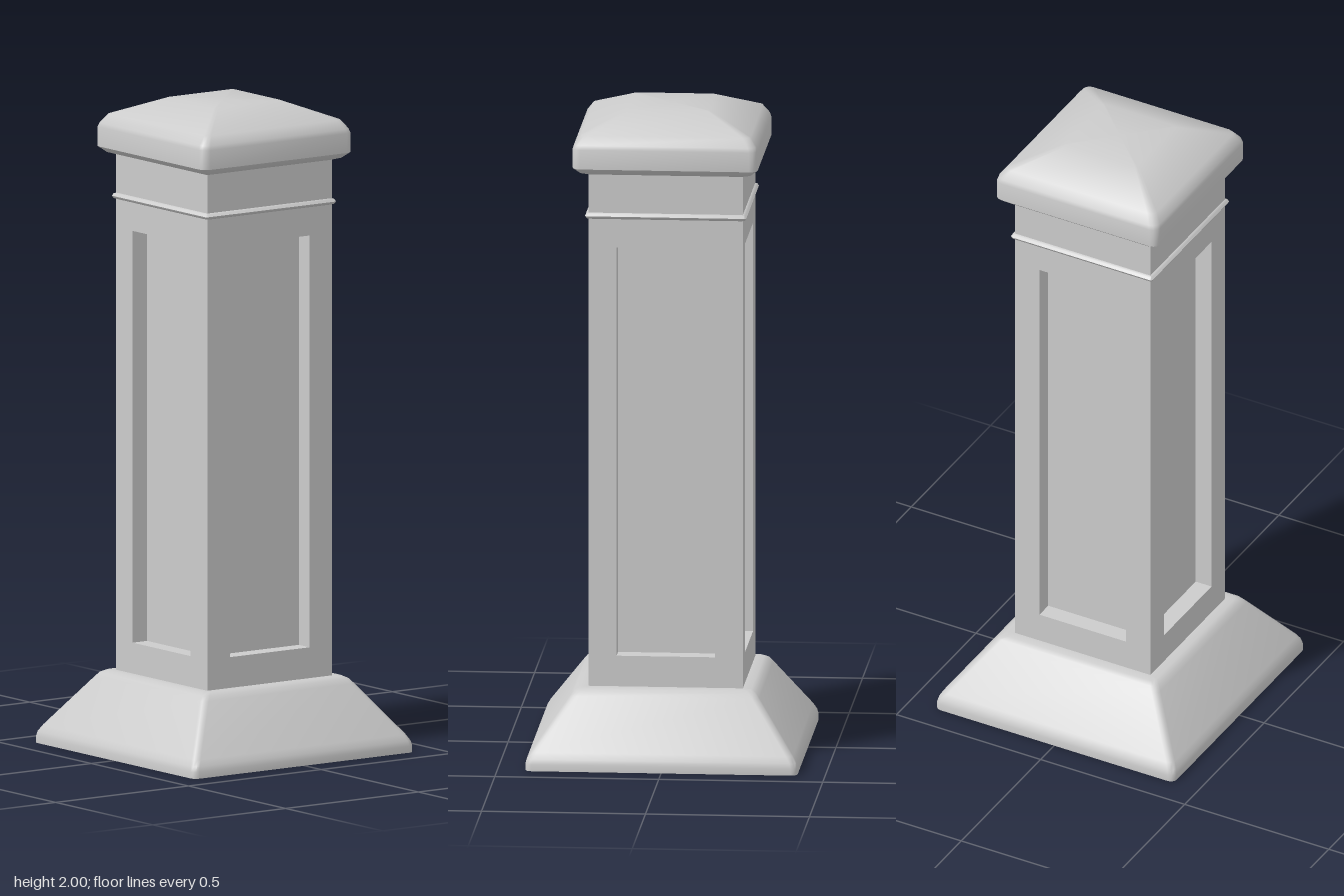
import * as THREE from 'three';
import { toCreasedNormals, mergeVertices } from 'three/addons/utils/BufferGeometryUtils.js';

const material = new THREE.MeshStandardMaterial({ color: 0xcccccc, side: THREE.DoubleSide });

// Skin a stack of rounded squares; each level is [half width, height, corner radius]
function loftSquares(levels, closeTop) {
  const steps = 3, count = 4 * (steps + 1);
  const positions = [], index = [];
  for (const [half, y, r] of levels) {
    for (let corner = 0; corner < 4; corner++) {
      const start = corner * Math.PI / 2;
      const middle = start + Math.PI / 4;
      const reach = (half - r) * Math.SQRT2;
      for (let s = 0; s <= steps; s++) {
        const a = start + (s / steps) * Math.PI / 2;
        positions.push(
          Math.cos(middle) * reach + Math.cos(a) * r, y,
          -Math.sin(middle) * reach - Math.sin(a) * r);
      }
    }
  }
  for (let l = 0; l < levels.length - 1; l++) {
    for (let i = 0; i < count; i++) {
      const a = l * count + i, b = l * count + (i + 1) % count;
      index.push(a, b, b + count, a, b + count, a + count);
    }
  }
  if (closeTop) {
    const first = (levels.length - 1) * count, centre = levels.length * count;
    positions.push(0, levels[levels.length - 1][1], 0);
    for (let i = 0; i < count; i++) index.push(first + i, first + (i + 1) % count, centre);
  }
  const geometry = new THREE.BufferGeometry();
  geometry.setAttribute('position', new THREE.Float32BufferAttribute(positions, 3));
  geometry.setIndex(index);
  return toCreasedNormals(mergeVertices(geometry), 0.85);
}

function addMesh(parent, name, geometry) {
  const mesh = new THREE.Mesh(geometry, material);
  mesh.name = name;
  parent.add(mesh);
  return mesh;
}

// One shaft wall facing +z: a frame, the sides of its recess and the sunken panel
function createWall() {
  const half = 0.235, bottom = 0.23, top = 1.825;
  const panelHalf = 0.15, panelBottom = 0.325, panelTop = 1.595, depth = 0.055;
  const wall = new THREE.Group();
  const frame = new THREE.Shape([
    new THREE.Vector2(-half, bottom), new THREE.Vector2(half, bottom),
    new THREE.Vector2(half, top), new THREE.Vector2(-half, top)]);
  frame.holes.push(new THREE.Path([
    new THREE.Vector2(-panelHalf, panelBottom), new THREE.Vector2(-panelHalf, panelTop),
    new THREE.Vector2(panelHalf, panelTop), new THREE.Vector2(panelHalf, panelBottom)]));
  addMesh(wall, 'wallFrame', new THREE.ShapeGeometry(frame)).position.z = half;

  const height = panelTop - panelBottom, middle = (panelTop + panelBottom) / 2;
  addMesh(wall, 'sunkenPanel', new THREE.PlaneGeometry(2 * panelHalf, height))
    .position.set(0, middle, half - depth);
  for (const side of [-1, 1]) {
    const jamb = addMesh(wall, 'recessSide', new THREE.PlaneGeometry(depth, height));
    jamb.position.set(side * panelHalf, middle, half - depth / 2);
    jamb.rotation.y = -side * Math.PI / 2;
    const ledge = addMesh(wall, 'recessLedge', new THREE.PlaneGeometry(2 * panelHalf, depth));
    ledge.position.set(0, middle + side * height / 2, half - depth / 2);
    ledge.rotation.x = side * Math.PI / 2;
  }
  return wall;
}

export function createModel() {
  const model = new THREE.Group();
  model.name = 'pillar';

  // Flared foot, a hollow skirt open underneath
  addMesh(model, 'base', loftSquares([
    [0.415, 0, 0.02], [0.415, 0.02, 0.02], [0.411, 0.036, 0.02], [0.4, 0.055, 0.02],
    [0.288, 0.208, 0.02], [0.277, 0.222, 0.02], [0.262, 0.23, 0.02], [0.234, 0.23, 0.002]]));

  // Hollow shaft with a sunken panel on each side
  const shaft = new THREE.Group();
  shaft.name = 'shaft';
  for (let i = 0; i < 4; i++) {
    const wall = createWall();
    wall.name = 'wall';
    wall.rotation.y = i * Math.PI / 2;
    shaft.add(wall);
  }
  model.add(shaft);

  // Thin bead around the neck
  addMesh(model, 'neckBead', loftSquares([
    [0.234, 1.682, 0.004], [0.242, 1.685, 0.006], [0.246, 1.692, 0.008],
    [0.242, 1.699, 0.006], [0.234, 1.702, 0.004]]));

  // Overhanging cap with a softly shaded hipped top
  addMesh(model, 'cap', loftSquares([
    [0.234, 1.82, 0.004], [0.262, 1.828, 0.02], [0.282, 1.845, 0.025], [0.282, 1.905, 0.025],
    [0.278, 1.918, 0.025], [0.258, 1.945, 0.022], [0.125, 2, 0.012]], true));

  return model;
}
